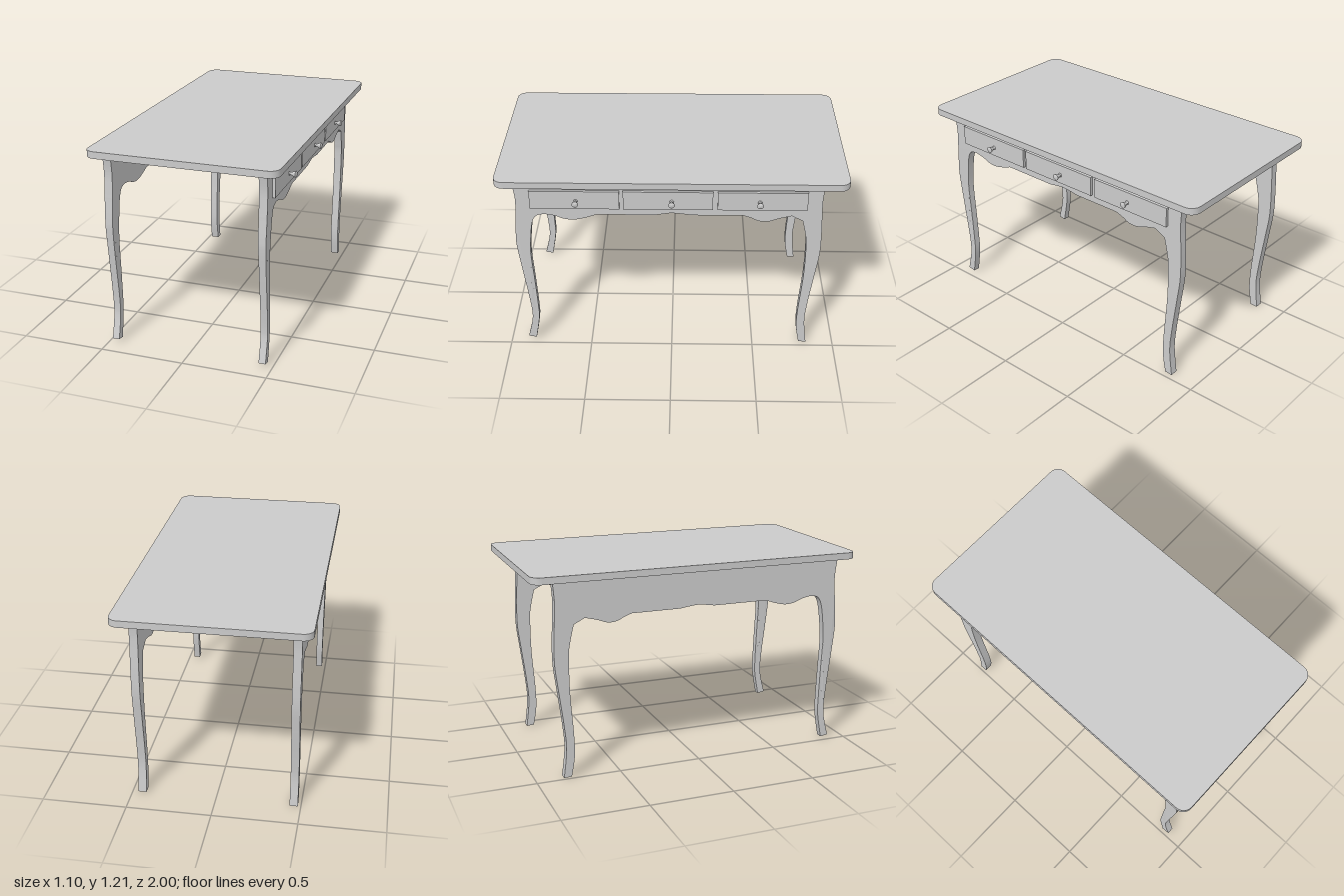
import * as THREE from 'three';
import { toCreasedNormals } from 'three/addons/utils/BufferGeometryUtils.js';

const material = new THREE.MeshStandardMaterial({ color: 0xcccccc });

function addMesh(parent, name, geometry) {
  const mesh = new THREE.Mesh(geometry, material);
  mesh.name = name;
  parent.add(mesh);
  return mesh;
}

// Smooth run of [z, y] points, continuing from the shape's current point
function spline(shape, ...points) {
  shape.splineThru(points.map(([z, y]) => new THREE.Vector2(z, y)));
}

// Rounded slab
function tabletopGeometry() {
  const w = 0.55, l = 1, r = 0.06, thickness = 0.04;
  const s = new THREE.Shape();
  s.absarc(w - r, l - r, r, 0, Math.PI / 2);
  s.absarc(-w + r, l - r, r, Math.PI / 2, Math.PI);
  s.absarc(-w + r, -l + r, r, Math.PI, Math.PI * 1.5);
  s.absarc(w - r, -l + r, r, Math.PI * 1.5, Math.PI * 2);
  const g = new THREE.ExtrudeGeometry(s, { depth: thickness, bevelEnabled: false, curveSegments: 4 });
  g.rotateX(Math.PI / 2).translate(0, 1.205, 0);
  return toCreasedNormals(g, 0.5);
}

// One long side: two cabriole legs joined by a scalloped apron
function sideFrameGeometry(width) {
  const s = new THREE.Shape();
  s.moveTo(0.911, 1.167);
  // Outer edge of the front leg, down to the foot
  spline(s, [0.896, 1.055], [0.9, 0.95], [0.912, 0.79], [0.912, 0.71], [0.895, 0.55],
    [0.872, 0.36], [0.86, 0.225], [0.865, 0.145], [0.895, 0.022]);
  s.lineTo(0.847, 0.014);
  // Inner edge of the front leg, up to the apron
  spline(s, [0.82, 0.17], [0.819, 0.28], [0.826, 0.47], [0.834, 0.655], [0.824, 0.79],
    [0.808, 0.885], [0.783, 0.93], [0.735, 0.943]);
  // Apron scallops
  spline(s, [0.676, 0.932], [0.62, 0.911], [0.56, 0.906], [0.49, 0.922], [0.434, 0.942]);
  s.lineTo(0.097, 0.942);
  spline(s, [0.035, 0.952], [0, 0.956], [-0.05, 0.952], [-0.118, 0.943]);
  s.lineTo(-0.413, 0.943);
  spline(s, [-0.46, 0.926], [-0.504, 0.906], [-0.558, 0.904], [-0.62, 0.925], [-0.69, 0.943]);
  s.lineTo(-0.755, 0.91);
  // Inner edge of the back leg
  spline(s, [-0.777, 0.815], [-0.787, 0.735], [-0.787, 0.52], [-0.77, 0.254], [-0.77, 0.12], [-0.79, 0.003]);
  s.lineTo(-0.836, 0);
  // Outer edge of the back leg
  spline(s, [-0.817, 0.17], [-0.826, 0.31], [-0.852, 0.52], [-0.871, 0.68], [-0.871, 0.815],
    [-0.862, 1.0], [-0.862, 1.07], [-0.87, 1.167]);
  s.closePath();

  const g = new THREE.ExtrudeGeometry(s, { depth: width, bevelEnabled: false, curveSegments: 24 });
  g.rotateY(-Math.PI / 2).translate(width / 2, 0, 0);
  // Slim the front leg slightly towards the foot
  const p = g.attributes.position;
  for (let i = 0; i < p.count; i++) {
    if (p.getZ(i) > 0.8) {
      const t = THREE.MathUtils.clamp((0.9 - p.getY(i)) / 0.3, 0, 1);
      p.setX(i, p.getX(i) * (1 - 0.15 * t));
    }
  }
  return toCreasedNormals(g, 0.5);
}

// Flared pull knob pointing along +x
function knobGeometry() {
  const profile = [[0, 0], [0.013, 0], [0.008, 0.006], [0.008, 0.013], [0.018, 0.034],
    [0.019, 0.039], [0.013, 0.044], [0, 0.046]];
  const g = new THREE.LatheGeometry(profile.map(([r, h]) => new THREE.Vector2(r, h)), 16);
  return toCreasedNormals(g.rotateZ(-Math.PI / 2), 0.7);
}

export function createModel() {
  const desk = new THREE.Group();
  desk.name = 'writingDesk';

  addMesh(desk, 'tabletop', tabletopGeometry());

  // Matching frames on the two long sides
  const frame = sideFrameGeometry(0.048);
  addMesh(desk, 'leftFrame', frame).position.x = 0.442;
  addMesh(desk, 'rightFrame', frame).position.x = -0.458;

  // Row of three drawers on the +x side
  const drawerFront = new THREE.BoxGeometry(0.022, 0.117, 0.513);
  const knob = knobGeometry();
  [[0.556, 0.548], [0.021, 0], [-0.519, -0.503]].forEach(([z, knobZ], i) => {
    const drawer = new THREE.Group();
    drawer.name = `drawer${i + 1}`;
    addMesh(drawer, 'drawerFront', drawerFront).position.set(0.471, 1.048, z);
    addMesh(drawer, 'drawerKnob', knob).position.set(0.481, 1.043, knobZ);
    desk.add(drawer);
  });

  return desk;
}
